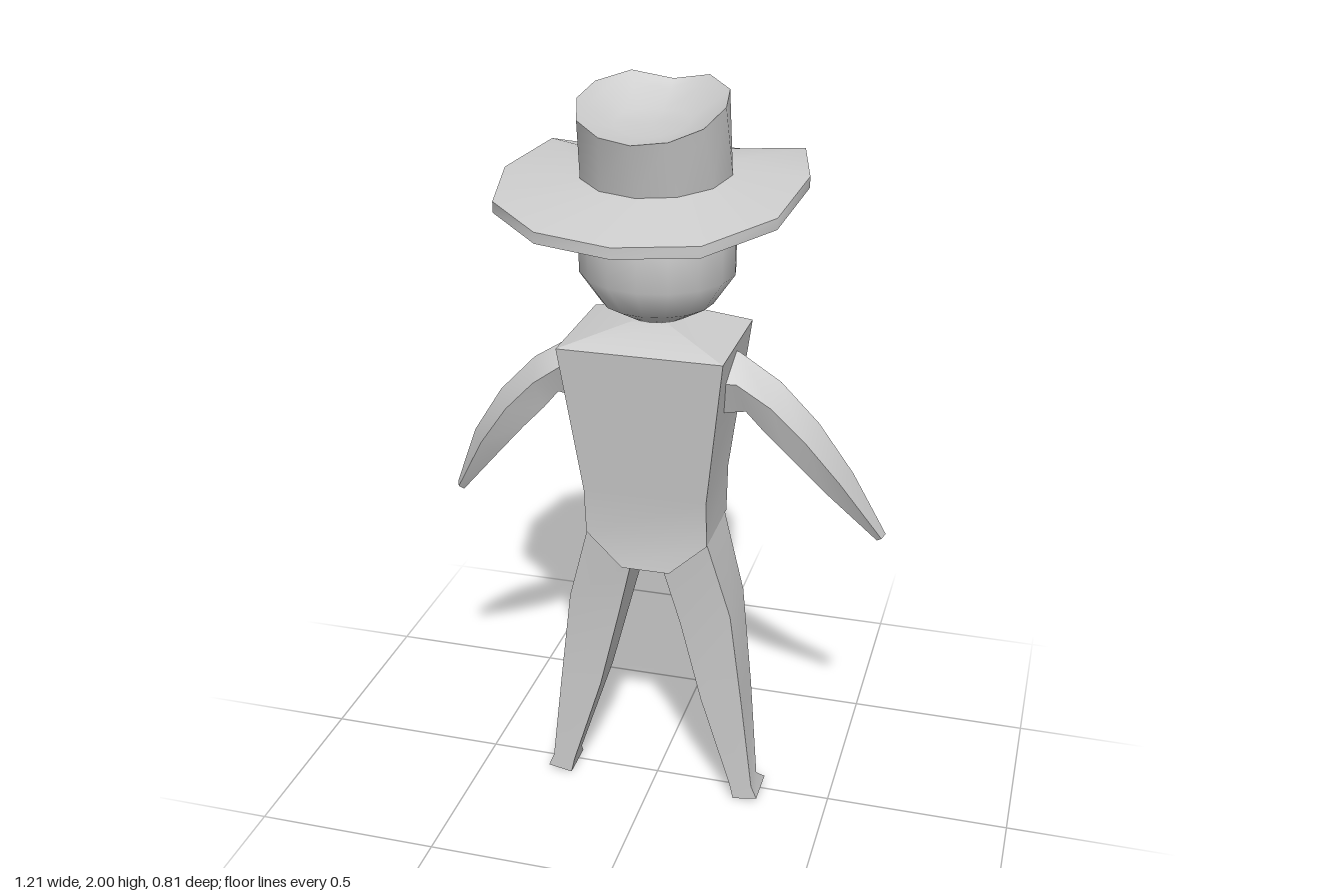
import * as THREE from 'three';
import { toCreasedNormals } from 'three/addons/utils/BufferGeometryUtils.js';

const material = new THREE.MeshStandardMaterial({ color: 0xcccccc });
const V = (x, y, z) => new THREE.Vector3(x, y, z);

// Skin a stack of equal rings and close both ends with fans.
function loft(rings, crease = 0.7) {
  const pos = [];
  const tri = (...pts) => pts.forEach(p => pos.push(p.x, p.y, p.z));
  const n = rings[0].length;
  const centre = ring => ring.reduce((s, p) => s.add(p), V(0, 0, 0)).divideScalar(n);
  const first = rings[0], last = rings[rings.length - 1];
  const c0 = centre(first), c1 = centre(last);
  for (let i = 0; i < n; i++) {
    const j = (i + 1) % n;
    tri(c0, first[j], first[i]);
    tri(c1, last[i], last[j]);
    for (let k = 0; k < rings.length - 1; k++) {
      const a = rings[k], b = rings[k + 1];
      tri(a[i], a[j], b[j]);
      tri(a[i], b[j], b[i]);
    }
  }
  const geo = new THREE.BufferGeometry();
  geo.setAttribute('position', new THREE.Float32BufferAttribute(pos, 3));
  return toCreasedNormals(geo, crease);
}

const mirrorRings = rings => rings.map(r => r.map(p => V(-p.x, p.y, p.z)).reverse());

export function createModel() {
  const group = new THREE.Group();
  const add = (name, geo) => {
    const mesh = new THREE.Mesh(geo, material);
    mesh.name = name;
    group.add(mesh);
  };
  const addPair = (name, rings, crease) => {
    add('left' + name, loft(rings, crease));
    add('right' + name, loft(mirrorRings(rings), crease));
  };

  // Torso: four-sided sections as [y, half width, front z, back z]
  add('torso', loft([
    [0.73, 0.065, 0.125, -0.1],
    [0.82, 0.165, 0.115, -0.108],
    [0.95, 0.165, 0.13, -0.12],
    [1.36, 0.215, 0.18, -0.155],
    [1.41, 0.05, 0.07, -0.08],
  ].map(([y, w, f, b]) => [V(-w, y, f), V(w, y, f), V(w, y, b), V(-w, y, b)]), 0.5));

  // Legs: sections as [inner x, inner y, outer x, outer y, front z, back z]
  addPair('Leg', [
    [0.24, 0.0, 0.308, 0.012, 0.07, -0.042],
    [0.23, 0.045, 0.292, 0.05, 0.07, 0.0],
    [0.145, 0.32, 0.26, 0.32, 0.077, -0.045],
    [0.087, 0.56, 0.225, 0.6, 0.086, -0.074],
    [0.045, 0.73, 0.165, 0.82, 0.11, -0.092],
  ].map(([xi, yi, xo, yo, f, b]) =>
    [V(xi, yi, f), V(xo, yo, f), V(xo, yo, b), V(xi, yi, b)]), 0.5);

  // Arms: five-sided sections as [top x, top y, bottom x, bottom y, front z, back z]
  addPair('Arm', [
    [0.17, 1.345, 0.16, 1.18, 0.105, -0.075],
    [0.22, 1.335, 0.25, 1.195, 0.1, -0.07],
    [0.33, 1.265, 0.295, 1.14, 0.078, -0.045],
    [0.43, 1.16, 0.36, 1.07, 0.058, -0.037],
    [0.52, 1.02, 0.45, 0.965, 0.018, -0.045],
    [0.606, 0.822, 0.585, 0.805, -0.06, -0.096],
  ].map(([tx, ty, bx, by, f, b]) => {
    const m = (f + b) / 2, h = (f - b) / 2;
    const mx = tx + (bx - tx) * 0.4, my = ty + (by - ty) * 0.4;
    return [V(tx, ty, m), V(mx, my, f), V(bx, by, m + h * 0.6),
      V(bx, by, m - h * 0.6), V(mx, my, b)];
  }), 0.8);

  // Head: rounded ball with short straight sides
  const headProfile = [[0, 1.4], [0.07, 1.408], [0.145, 1.45], [0.2, 1.53],
    [0.2, 1.69], [0.145, 1.765], [0, 1.8]].map(([r, y]) => new THREE.Vector2(r, y));
  const head = new THREE.LatheGeometry(headProfile, 16);
  head.translate(0, 0, -0.005);
  add('head', head);

  // Hat: uneven brim edge, starting at the front and turning to +x
  const brim = [
    [0, 1.70, 0.405], [0.2, 1.705, 0.355], [0.345, 1.74, 0.21], [0.38, 1.785, 0],
    [0.33, 1.8, -0.2], [0.24, 1.745, -0.35], [0.07, 1.69, -0.41], [-0.245, 1.73, -0.35],
    [-0.34, 1.78, -0.2], [-0.395, 1.755, 0.01], [-0.355, 1.725, 0.21], [-0.2, 1.705, 0.355],
  ].map(p => V(...p));
  const ring = (r, y, dz, tilt) => brim.map((_, i) => {
    const a = i * Math.PI / 6, z = r * Math.cos(a) + dz;
    return V(r * Math.sin(a), y - tilt * z, z);
  });
  const offset = (pts, dy) => pts.map(p => V(p.x, p.y + dy, p.z));

  // Crown rim: low in front, two peaks at the back with a dip between
  const half = [
    [0, 1.905, 0.24], [0.085, 1.912, 0.215], [0.155, 1.935, 0.16], [0.185, 1.965, 0.06],
    [0.17, 1.985, -0.04], [0.1, 2.0, -0.12], [0, 1.978, -0.15],
  ].map(p => V(...p));
  const rim = [...half, ...half.slice(1, 6).reverse().map(p => V(-p.x, p.y, p.z))];
  const dent = (s, floor) => rim.map(p =>
    V(p.x * s, THREE.MathUtils.lerp(floor, p.y, s * s), 0.05 + (p.z - 0.05) * s));

  add('hat', loft([
    ring(0.19, 1.75, 0, 0),
    offset(brim, -0.016),
    offset(brim, 0.012),
    ring(0.192, 1.79, 0.01, 0.1),
    rim,
    dent(0.86, 1.9),
    dent(0.5, 1.9),
  ]));

  return group;
}
